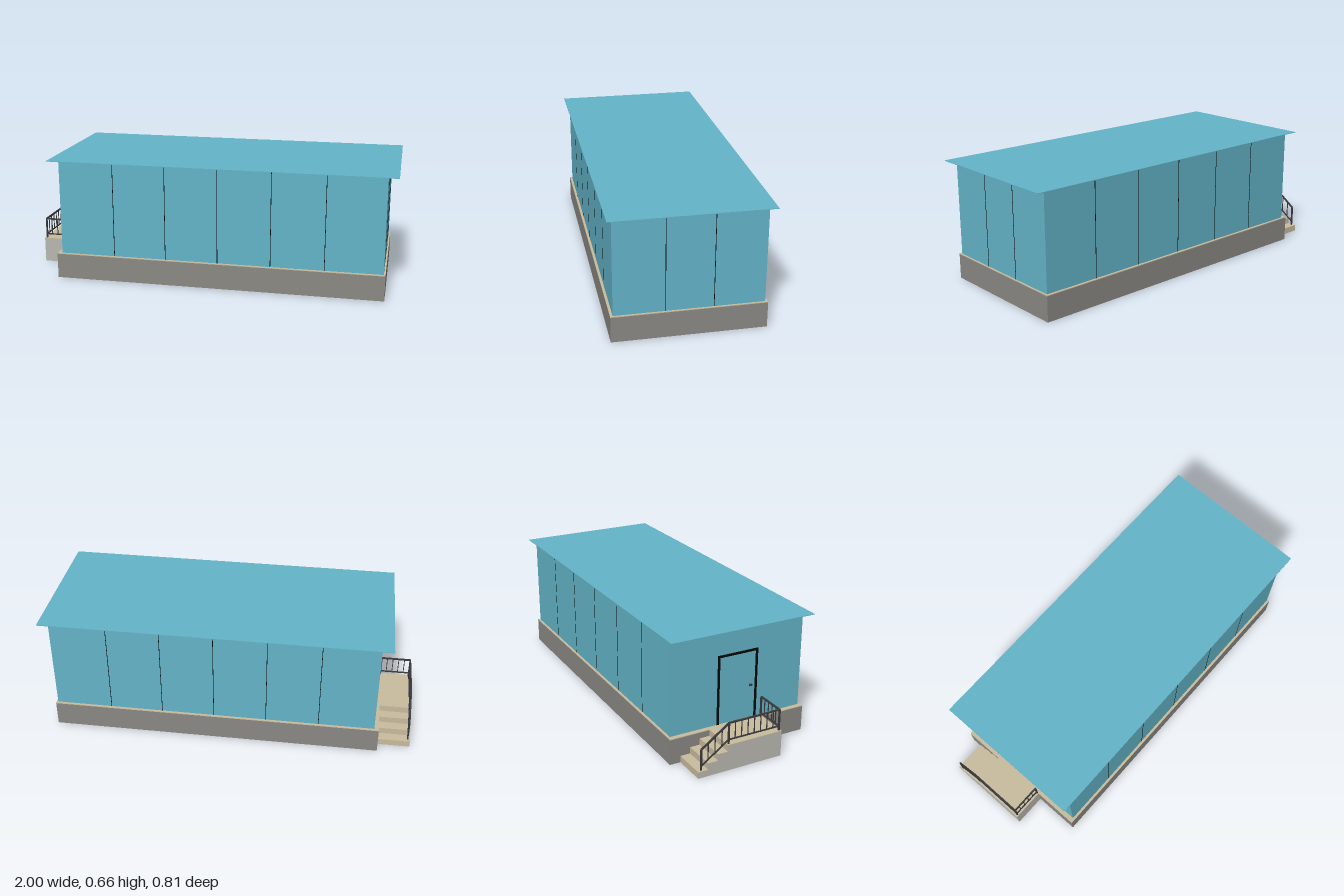
import * as THREE from 'three';

const mat = (name, color) => {
  const m = new THREE.MeshStandardMaterial({ color });
  m.name = name;
  return m;
};

export function createModel() {
  const blue = mat('blue cladding', 0x64b5c9);
  const grey = mat('plinth grey', 0x8b8984);
  const pale = mat('pale concrete', 0xbab8b1);
  const tan = mat('tan floor', 0xcabd9f);
  const iron = mat('dark iron', 0x3c3c3e);
  const black = mat('black trim', 0x060606);

  const model = new THREE.Group();
  model.name = 'cabin';
  const group = (name) => {
    const g = new THREE.Group();
    g.name = name;
    model.add(g);
    return g;
  };
  // Box given by its limits on each axis
  const box = (parent, name, material, [x0, x1], [y0, y1], [z0, z1]) => {
    const m = new THREE.Mesh(new THREE.BoxGeometry(x1 - x0, y1 - y0, z1 - z0), material);
    m.position.set((x0 + x1) / 2, (y0 + y1) / 2, (z0 + z1) / 2);
    m.name = name;
    parent.add(m);
    return m;
  };

  // Open-bottomed plinth with a floor slab on top
  const T = 0.004, PX0 = -0.825, PX1 = 0.955, PZ = 0.39, FLOOR = 0.14;
  const plinth = group('plinth');
  for (const z of [-PZ, PZ - T]) box(plinth, 'plinthLongWall', grey, [PX0, PX1], [0, 0.136], [z, z + T]);
  for (const x of [PX0, PX1 - T]) box(plinth, 'plinthEndWall', grey, [x, x + T], [0, 0.136], [-PZ + T, PZ - T]);
  box(plinth, 'floorSlab', tan, [PX0, PX1], [0.136, FLOOR], [-PZ, PZ]);
  box(plinth, 'cablePit', grey, [0.25, 0.652], [0.01, 0.136], [-0.18, 0.18]);

  // Walls and overhanging sheet roof
  const WX0 = -0.8, WX1 = 0.946, WZ = 0.377, TOP = 0.657;
  box(model, 'walls', blue, [WX0, WX1], [FLOOR, TOP], [-WZ, WZ]);
  box(model, 'roof', blue, [-0.86, 1], [TOP, 0.66], [-0.404, 0.404]);

  // Panel joints
  const joints = group('panelJoints');
  const W = 0.0015, D = 0.001;
  for (let i = 0; i < 5; i++) {
    const x = -0.5 + i * 0.285;
    for (const z of [-WZ, WZ]) box(joints, 'joint', black, [x - W, x + W], [FLOOR, TOP], [z - D, z + D]);
  }
  for (const z of [-0.12, 0.12]) box(joints, 'joint', black, [WX1 - D, WX1 + D], [FLOOR, TOP], [z - W, z + W]);

  // Door outline and handle on the porch end
  const door = group('door');
  const DX = [WX0 - 0.004, WX0 + 0.001], DT = 0.515, F = 0.012;
  for (const s of [-1, 1]) {
    const a = s * 0.115, b = s * (0.115 - F);
    box(door, 'doorJamb', black, DX, [FLOOR, DT], [Math.min(a, b), Math.max(a, b)]);
  }
  box(door, 'doorHead', black, DX, [DT - F, DT], [-0.115, 0.115]);
  box(door, 'doorHandle', iron, [WX0 - 0.008, WX0], [0.315, 0.325], [0.07, 0.085]);

  // Porch: hollow support with a stepped side, landing and three treads
  const porch = group('porch');
  const X0 = -1, X1 = PX0, Z1 = 0.14, EDGE = -0.17, GO = 0.054, RISE = 0.035;
  const side = new THREE.Shape();
  side.moveTo(-Z1, 0);
  side.lineTo(-Z1, FLOOR - T);
  for (let i = 0; i < 4; i++) {
    side.lineTo(-EDGE + i * GO, FLOOR - T - i * RISE);
    side.lineTo(-EDGE + i * GO, Math.max(0, FLOOR - T - (i + 1) * RISE));
  }
  const sidePanel = new THREE.Mesh(new THREE.ExtrudeGeometry(side, { depth: T, bevelEnabled: false }), pale);
  sidePanel.name = 'porchSide';
  sidePanel.rotation.y = Math.PI / 2; // shape x runs along -z
  sidePanel.position.x = X0;
  porch.add(sidePanel);
  box(porch, 'porchFront', pale, [X0 + T, X1], [0, FLOOR - T], [Z1 - T, Z1]);
  box(porch, 'landing', tan, [X0, X1], [FLOOR - T, FLOOR], [EDGE, Z1]);
  for (let i = 0; i < 4; i++) {
    const y = FLOOR - i * RISE, z = EDGE - i * GO;
    box(porch, 'riser', tan, [X0, X1], [y - RISE, y - T], [z, z + T]);
    if (i > 0) box(porch, 'tread', tan, [X0, X1], [y - T, y], [z, z + GO + T]);
  }

  // Railings: bars between two points
  const railing = group('railing');
  const bar = (name, a, b, t) => {
    const p = new THREE.Vector3(...a), q = new THREE.Vector3(...b);
    const m = new THREE.Mesh(new THREE.BoxGeometry(t, t, p.distanceTo(q)), iron);
    m.position.copy(p).add(q).multiplyScalar(0.5);
    m.lookAt(q);
    m.name = name;
    railing.add(m);
  };
  // One railing run from foot point a to foot point b
  const run = (a, b, n) => {
    const up = (p, h) => [p[0], p[1] + h, p[2]];
    bar('topRail', up(a, 0.112), up(b, 0.112), 0.008);
    bar('bottomRail', up(a, 0.022), up(b, 0.022), 0.006);
    for (let i = 0; i <= n; i++) {
      const p = a.map((v, k) => v + (b[k] - v) * i / n);
      const post = i === 0 || i === n;
      bar(post ? 'post' : 'baluster', up(p, post ? 0 : 0.022), up(p, 0.112), post ? 0.008 : 0.004);
    }
  };
  const RX = -0.988, RZ = 0.13, corner = [RX, FLOOR, RZ], head = [RX, FLOOR, EDGE + 0.01];
  run([X1 - 0.002, FLOOR, RZ], corner, 5);
  run(corner, head, 8);
  run(head, [RX, RISE, EDGE - 2.6 * GO], 4);

  return model;
}
